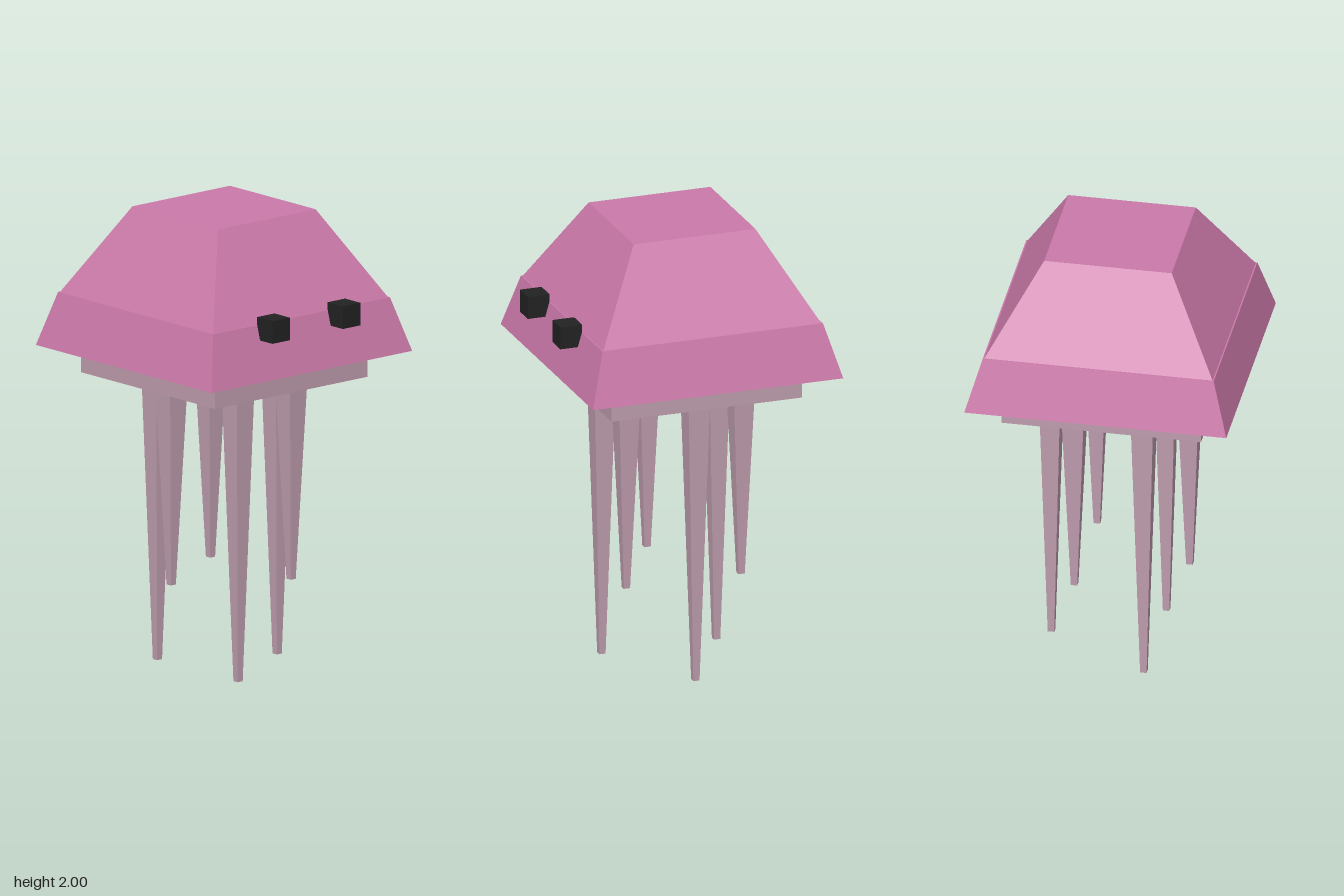
import * as THREE from 'three';

const flat = (name, color) => {
  const m = new THREE.MeshStandardMaterial({ color, flatShading: true });
  m.name = name;
  return m;
};

// Square frustum aligned to the axes, given half-widths and its y range
function frustum(name, halfTop, halfBottom, y0, y1, x, z, material) {
  const g = new THREE.CylinderGeometry(
    halfTop * Math.SQRT2, halfBottom * Math.SQRT2, y1 - y0, 4, 1, false, Math.PI / 4);
  const mesh = new THREE.Mesh(g, material);
  mesh.name = name;
  mesh.position.set(x, (y0 + y1) / 2, z);
  return mesh;
}

export function createModel() {
  const pink = flat('pink', 0xcb79a9);
  const mauve = flat('mauve', 0xbf9dae);
  const black = flat('black', 0x222222);
  const model = new THREE.Group();
  model.name = 'jellyfish';
  const cz = -0.017;

  // Bell: steep skirt, sloping dome and the slab beneath
  model.add(
    frustum('bellDome', 0.276, 0.494, 1.62, 2, 0, cz, pink),
    frustum('bellSkirt', 0.5, 0.567, 1.386, 1.62, 0, cz, pink),
    frustum('underside', 0.432, 0.432, 1.27, 1.386, 0, cz + 0.002, mauve));

  // Eyes
  for (const x of [-0.201, 0.198]) {
    const eye = new THREE.Mesh(new THREE.BoxGeometry(0.099, 0.099, 0.099), black);
    eye.name = 'eye';
    eye.position.set(x, 1.605, 0.531);
    model.add(eye);
  }

  // Tentacles: staggered rows of one long and one short each
  const tentacles = [
    [-0.152, 0.247, 0], [0.148, 0.247, 0.4],
    [-0.302, -0.013, 0.4], [0.297, -0.013, 0],
    [-0.152, -0.273, 0], [0.148, -0.273, 0.4],
  ];
  for (const [x, z, tip] of tentacles) {
    model.add(frustum('tentacle', 0.049, 0.014, tip, 1.272, x, z, mauve));
  }
  return model;
}
